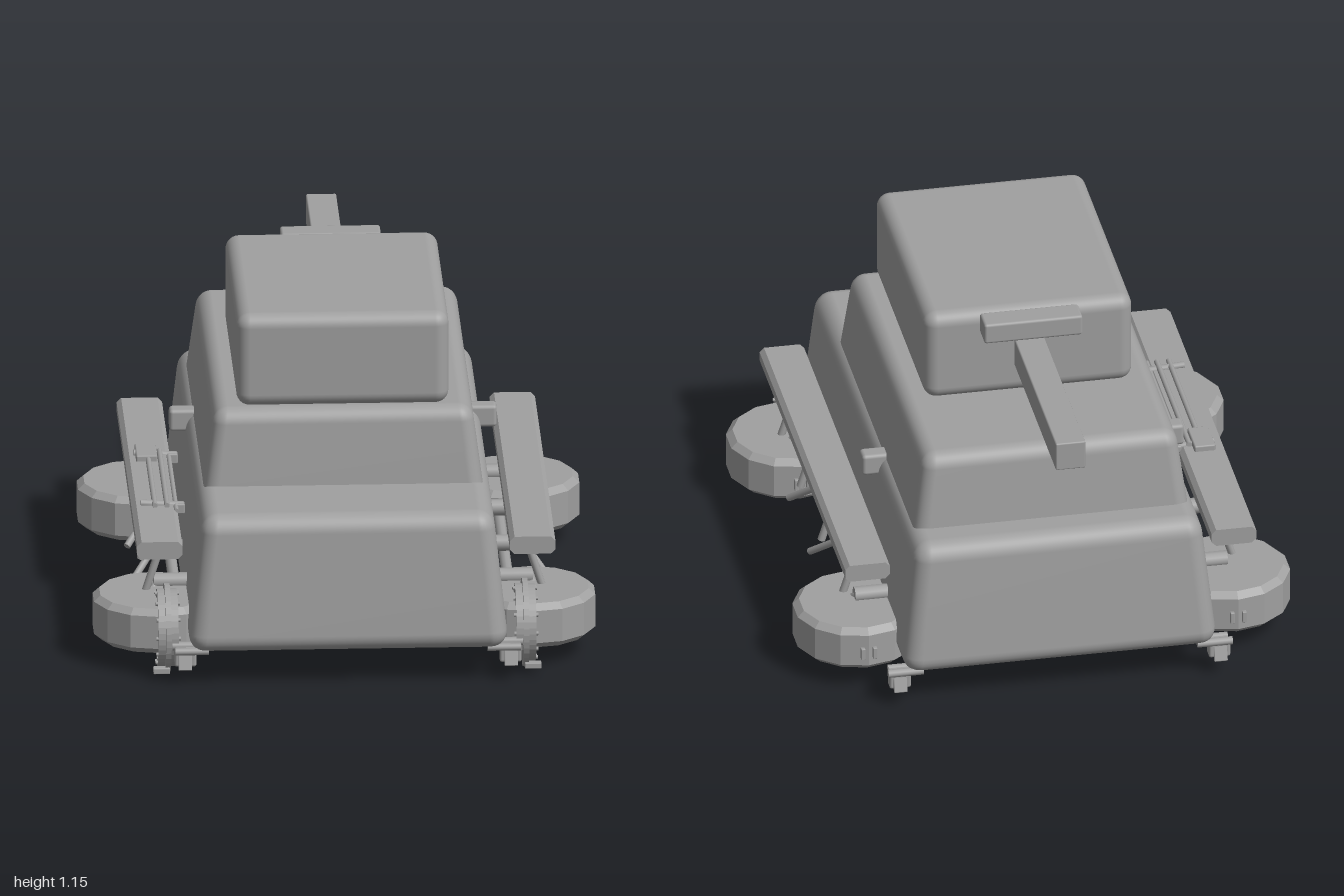
import * as THREE from 'three';
import { mergeVertices } from 'three/addons/utils/BufferGeometryUtils.js';
import { RoundedBoxGeometry } from 'three/addons/geometries/RoundedBoxGeometry.js';

const grey = new THREE.MeshStandardMaterial({ color: 0xa0a0a0 });
grey.name = 'plain grey';

export function createModel() {
  const model = new THREE.Group();
  model.name = 'tank';

  const add = (name, geo, parent = model) => {
    const m = new THREE.Mesh(geo, grey);
    m.name = name;
    parent.add(m);
    return m;
  };

  // Box given by its limits, with rounded edges; the inset narrows its top
  const block = (name, [x0, x1], [y0, y1], [z0, z1], r, inset = 0, insetZ = 0, parent = model, seg = 4) => {
    const w = x1 - x0, h = y1 - y0, d = z1 - z0;
    let geo = new RoundedBoxGeometry(w, h, d, seg, r);
    if (inset) {
      const p = geo.attributes.position;
      for (let i = 0; i < p.count; i++) {
        const t = p.getY(i) / h + 0.5;
        p.setX(i, p.getX(i) * (1 - t * inset * 2 / w));
        p.setZ(i, p.getZ(i) * (1 - t * insetZ * 2 / d));
      }
      geo.deleteAttribute('normal');
      geo.deleteAttribute('uv');
      geo = mergeVertices(geo, 1e-5);
      geo.computeVertexNormals();
    }
    const m = add(name, geo, parent);
    m.position.set((x0 + x1) / 2, (y0 + y1) / 2, (z0 + z1) / 2);
    return m;
  };

  // Round bar between two points
  const rod = (name, a, b, r, parent = model) => {
    const from = new THREE.Vector3(...a), to = new THREE.Vector3(...b);
    const dir = to.clone().sub(from);
    const m = add(name, new THREE.CylinderGeometry(r, r, dir.length(), 10), parent);
    m.position.copy(from).add(to).multiplyScalar(0.5);
    m.quaternion.setFromUnitVectors(new THREE.Vector3(0, 1, 0), dir.normalize());
    return m;
  };

  // Stacked body
  block('hull', [-0.53, 0.53], [0.12, 0.585], [-0.855, 0.995], 0.06, 0.05, 0.04);
  block('superstructure', [-0.47, 0.47], [0.5, 0.84], [-0.7, 0.645], 0.05, 0.045, 0.04);
  block('turret', [-0.35, 0.35], [0.835, 1.155], [-0.292, 0.575], 0.045);

  // Gun
  block('gunBarrel', [-0.05, 0.05], [0.94, 1.04], [-1, -0.25], 0.005, 0, 0, model, 1);
  block('gunVisor', [-0.165, 0.165], [1.075, 1.147], [-0.367, -0.28], 0.009, 0, 0, model, 2);

  // Flat wheel with bevelled rims
  const wheelProfile = [[0, 0.075], [0.185, 0.075], [0.212, 0.098], [0.212, 0.21], [0.19, 0.23], [0, 0.23]]
    .map(([x, y]) => new THREE.Vector2(x, y));
  const wheelGeo = new THREE.LatheGeometry(wheelProfile, 14).toNonIndexed();
  wheelGeo.computeVertexNormals();

  // Bevelled section for the fender boards
  const boardShape = new THREE.Shape([[0.54, 0.41], [0.555, 0.395], [0.675, 0.395], [0.69, 0.41],
    [0.69, 0.44], [0.675, 0.455], [0.555, 0.455], [0.54, 0.44]].map(([x, y]) => new THREE.Vector2(x, y)));

  for (const s of [1, -1]) {
    const side = new THREE.Group();
    side.name = s > 0 ? 'leftRunningGear' : 'rightRunningGear';
    model.add(side);
    const X = (a, b) => (s > 0 ? [a, b] : [-b, -a]);

    // Fender board and hull side block
    const outline = new THREE.Shape(boardShape.getPoints().map(p => new THREE.Vector2(p.x * s, p.y)));
    add('fenderBoard', new THREE.ExtrudeGeometry(outline, { depth: 1.47, bevelEnabled: false }), side)
      .position.z = -0.66;
    block('sideBlock', X(0.4, 0.54), [0.515, 0.59], [-0.19, -0.13], 0.012, 0, 0, side, 2);

    // Wheels with a slot plate below and a tab on the end
    for (const z of [0.643, -0.495]) {
      add('wheel', wheelGeo, side).position.set(0.62 * s, 0, z);
      block('wheelSlot', X(0.575, 0.665), [0.071, 0.078], [z - 0.005, z + 0.005], 0.001, 0, 0, side, 1);
      for (const dx of [-0.02, 0.02]) {
        const x = 0.62 + dx;
        block('wheelTab', X(x - 0.007, x + 0.007), [0.125, 0.165], [z - 0.222, z - 0.2], 0.002, 0, 0, side, 1);
      }
    }
    rod('wheelLinkBar', [0.55 * s, 0.183, -0.4], [0.55 * s, 0.183, 0.6], 0.019, side);

    // Suspension struts with pivots and angled arms
    for (const z of [0.625, 0.29, -0.07, -0.43]) {
      rod('strut', [0.655 * s, 0.22, z], [0.617 * s, 0.338, z], 0.013, side);
      rod('pivot', [0.5 * s, 0.24, z - 0.05], [0.625 * s, 0.24, z - 0.05], 0.027, side);
      rod('arm', [0.61 * s, 0.24, z - 0.05], [0.685 * s, 0.155, z + 0.043], 0.012, side);
    }

    // Upright front ring with flanges and bolts
    const ring = new THREE.Group();
    ring.name = 'frontRing';
    ring.position.set(0.59 * s, 0.15, 0.785);
    ring.rotation.y = Math.PI / 2;
    side.add(ring);
    const annulus = (name, outer, inner, width, z) => {
      const shape = new THREE.Shape().absarc(0, 0, outer, 0, Math.PI * 2);
      shape.holes.push(new THREE.Path().absarc(0, 0, inner, 0, Math.PI * 2, true));
      const geo = new THREE.ExtrudeGeometry(shape, { depth: width, bevelEnabled: false, curveSegments: 20 });
      add(name, geo, ring).position.z = z - width / 2;
    };
    annulus('ringFlange', 0.146, 0.105, 0.018, 0);
    annulus('ringBand', 0.128, 0.105, 0.066, 0);
    for (let i = 0; i < 12; i++) {
      const a = i * Math.PI / 6;
      const bolt = add('ringBolt', new THREE.CylinderGeometry(0.007, 0.007, 0.08, 6), ring);
      bolt.rotation.x = Math.PI / 2;
      bolt.position.set(Math.cos(a) * 0.118, Math.sin(a) * 0.118, 0);
    }
    block('ringFoot', X(0.585, 0.64), [0.025, 0.045], [0.87, 0.9], 0.003, 0, 0, side, 1);

    // Corner towing clips, front and back
    for (const [z, d] of [[0.925, 1], [-0.8, -1]]) {
      block('clipBody', X(0.5, 0.572), [0.065, 0.125], [z - 0.022, z + 0.022], 0.008, 0, 0, side, 2);
      rod('clipPin', [0.46 * s, 0.125, z - 0.02], [0.578 * s, 0.125, z - 0.02], 0.014, side);
      rod('clipPin', [0.46 * s, 0.12, z + 0.025], [0.57 * s, 0.12, z + 0.025], 0.012, side);
      const hook = block('clipHook', X(0.515, 0.56), [0.055, 0.12], [z + 0.022 * d - 0.006, z + 0.022 * d + 0.006], 0.003, 0, 0, side, 1);
      hook.rotation.x = -0.3 * d;
    }
  }

  // Tool rack lying on the right fender board
  const rack = new THREE.Group();
  rack.name = 'toolRack';
  model.add(rack);
  for (const x of [-0.615, -0.575]) rod('rackRail', [x, 0.462, -0.1], [x, 0.462, 0.46], 0.009, rack);
  rod('rackRail', [-0.545, 0.45, -0.08], [-0.545, 0.45, 0.48], 0.008, rack);
  for (const z of [-0.085, 0.425]) {
    rod('rackCrossbar', [-0.66, 0.46, z], [-0.52, 0.45, z], 0.012, rack);
    block('rackClamp', [-0.55, -0.515], [0.425, 0.46], [z - 0.018, z + 0.018], 0.005, 0, 0, rack, 1);
  }
  block('rackHead', [-0.655, -0.585], [0.45, 0.475], [-0.14, -0.01], 0.005, 0, 0, rack, 1);
  return model;
}
